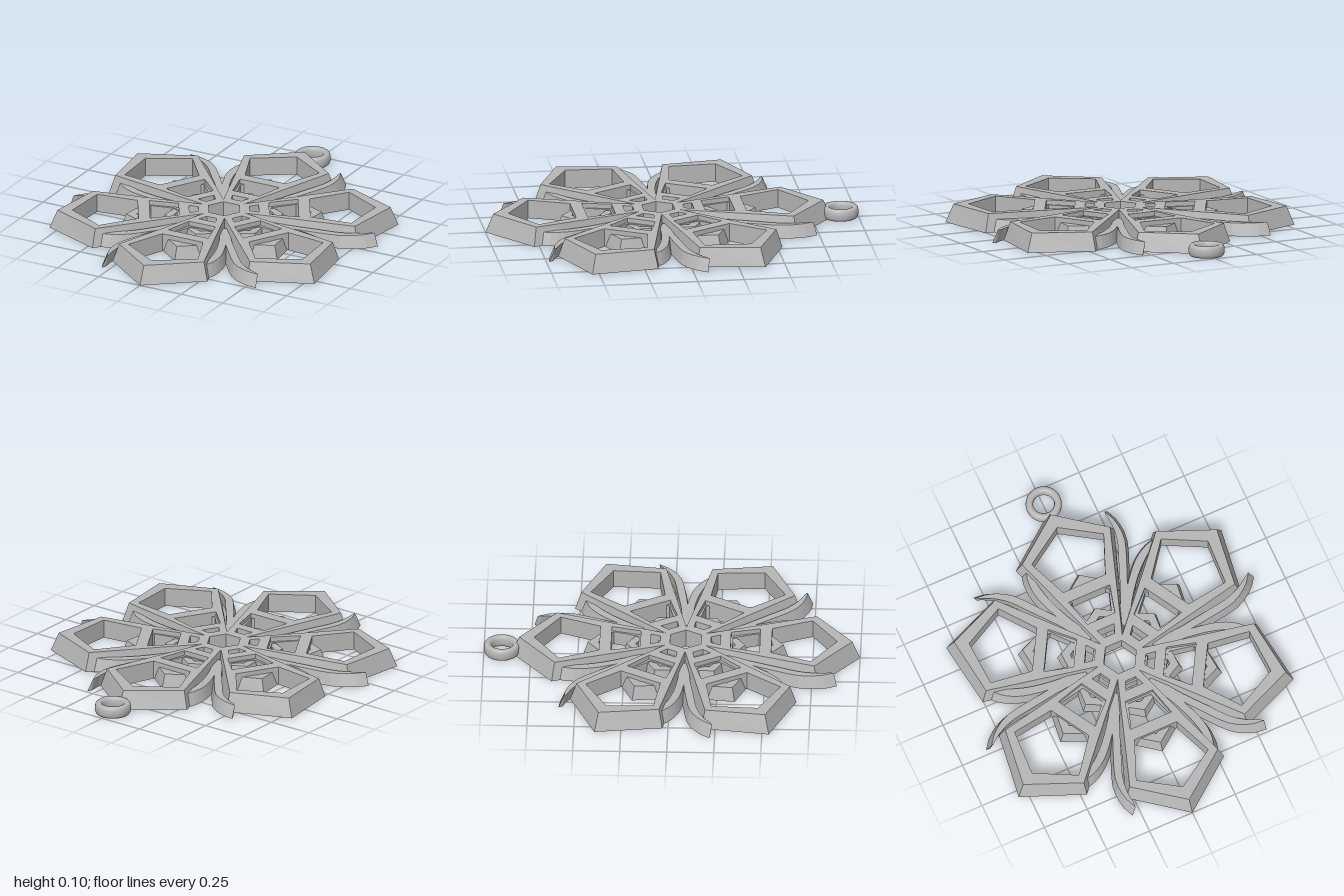
import * as THREE from 'three';

const metal = new THREE.MeshStandardMaterial({ color: 0xb6b6b6 });
metal.name = 'grey metal';

const mirror = half => [...half, ...half.map(([x, y]) => [-x, y]).reverse()];
const tipped = (tip, half) => [[0, tip], ...mirror(half)];
const toPoints = list => list.map(([x, y]) => new THREE.Vector2(x, y));

// Flat plate with holes; the outline narrows from base to top
function plate(name, base, top, holes, height) {
  const shape = new THREE.Shape(toPoints(base));
  for (const hole of holes) {
    // holes run counter-clockwise so their walls face inwards
    const points = toPoints(hole);
    if (THREE.ShapeUtils.isClockWise(points)) points.reverse();
    shape.holes.push(new THREE.Path(points));
  }
  const geometry = new THREE.ExtrudeGeometry(shape, { depth: height, bevelEnabled: false });
  const pos = geometry.attributes.position;
  for (let i = 0; i < pos.count; i++) {
    if (pos.getZ(i) < height / 2) continue;
    const k = base.findIndex(([x, y]) => Math.hypot(x - pos.getX(i), y - pos.getY(i)) < 1e-4);
    if (k >= 0) pos.setXY(i, top[k][0], top[k][1]);
  }
  geometry.rotateX(-Math.PI / 2);
  geometry.computeVertexNormals();
  const mesh = new THREE.Mesh(geometry, metal);
  mesh.name = name;
  return mesh;
}

const smoothLine = (list, n) => new THREE.SplineCurve(toPoints(list)).getPoints(n).map(p => [p.x, p.y]);

// Curved blade between two edges, its outer edge and tip sloping in towards the top
function blade(name, outer, inner, lift) {
  const a = smoothLine(outer, 12), b = smoothLine(inner, 12);
  const top = [...a.map(([x, y]) => [0.968 * x, y + lift]), ...b.map(([x, y]) => [0.968 * x, y])];
  return plate(name, [...a, ...b], top, [], 0.068);
}

function createArm() {
  const arm = new THREE.Group();
  // Main petal frame with two crossbars
  arm.add(plate('petalFrame',
    tipped(0.927, [[0.287, 0.705], [0.075, 0.1]]),
    tipped(0.885, [[0.257, 0.69], [0.06, 0.1]]),
    [
      tipped(0.805, [[0.21, 0.67], [0.123, 0.457]]),
      mirror([[0.12, 0.395], [0.08, 0.24]]),
      mirror([[0.05, 0.185], [0.03, 0.135]]),
    ], 0.1));
  // Nested lower frames
  arm.add(plate('middleFrame',
    tipped(0.545, [[0.165, 0.42], [0.07, 0.19]]),
    tipped(0.52, [[0.15, 0.41], [0.065, 0.19]]),
    [tipped(0.465, [[0.11, 0.385], [0.065, 0.25]])], 0.075));
  arm.add(plate('innerFrame',
    tipped(0.335, [[0.11, 0.255], [0.055, 0.115]]),
    tipped(0.315, [[0.1, 0.25], [0.05, 0.115]]),
    [tipped(0.265, [[0.062, 0.23], [0.04, 0.145]])], 0.07));
  // Long and short blades in the gap beside the petal
  arm.add(blade('longBlade',
    [[0.2, -0.03], [0.4, -0.014], [0.56, 0.004], [0.705, 0.03], [0.8, 0.088], [0.85, 0.15]],
    [[0.828, 0.152], [0.77, 0.112], [0.68, 0.077], [0.54, 0.056], [0.35, 0.03], [0.2, 0.03]], 0.012));
  arm.add(blade('shortBlade',
    [[0.2, 0.03], [0.42, 0.012], [0.58, -0.016], [0.68, -0.068], [0.74, -0.135]],
    [[0.72, -0.135], [0.62, -0.088], [0.5, -0.052], [0.35, -0.032], [0.2, -0.03]], -0.01));
  return arm;
}

export function createModel() {
  const model = new THREE.Group();
  model.name = 'snowflakePendant';

  const flake = new THREE.Group();
  flake.name = 'snowflake';
  flake.position.z = 0.073;
  for (let i = 0; i < 6; i++) {
    const arm = createArm();
    arm.name = 'arm' + (i + 1);
    arm.rotation.y = i * Math.PI / 3;
    flake.add(arm);
  }

  // Central hexagon ring
  const hexagon = r => Array.from({ length: 6 }, (_, i) =>
    [r * Math.cos(i * Math.PI / 3), r * Math.sin(i * Math.PI / 3)]);
  flake.add(plate('centreRing', hexagon(0.13), hexagon(0.125), [hexagon(0.095)], 0.1));
  model.add(flake);

  // Hanging ring with a tall oval section
  const section = [];
  for (let i = 0; i <= 20; i++) {
    const a = i / 20 * Math.PI * 2;
    const c = Math.cos(a), s = Math.sin(a);
    section.push(new THREE.Vector2(
      0.076 + 0.02 * Math.sign(c) * Math.abs(c) ** 0.7,
      0.0325 + 0.0325 * Math.sign(s) * Math.abs(s) ** 0.85));
  }
  const ring = new THREE.Mesh(new THREE.LatheGeometry(section, 48), metal);
  ring.name = 'hangingRing';
  ring.position.z = -0.904;
  model.add(ring);
  return model;
}
